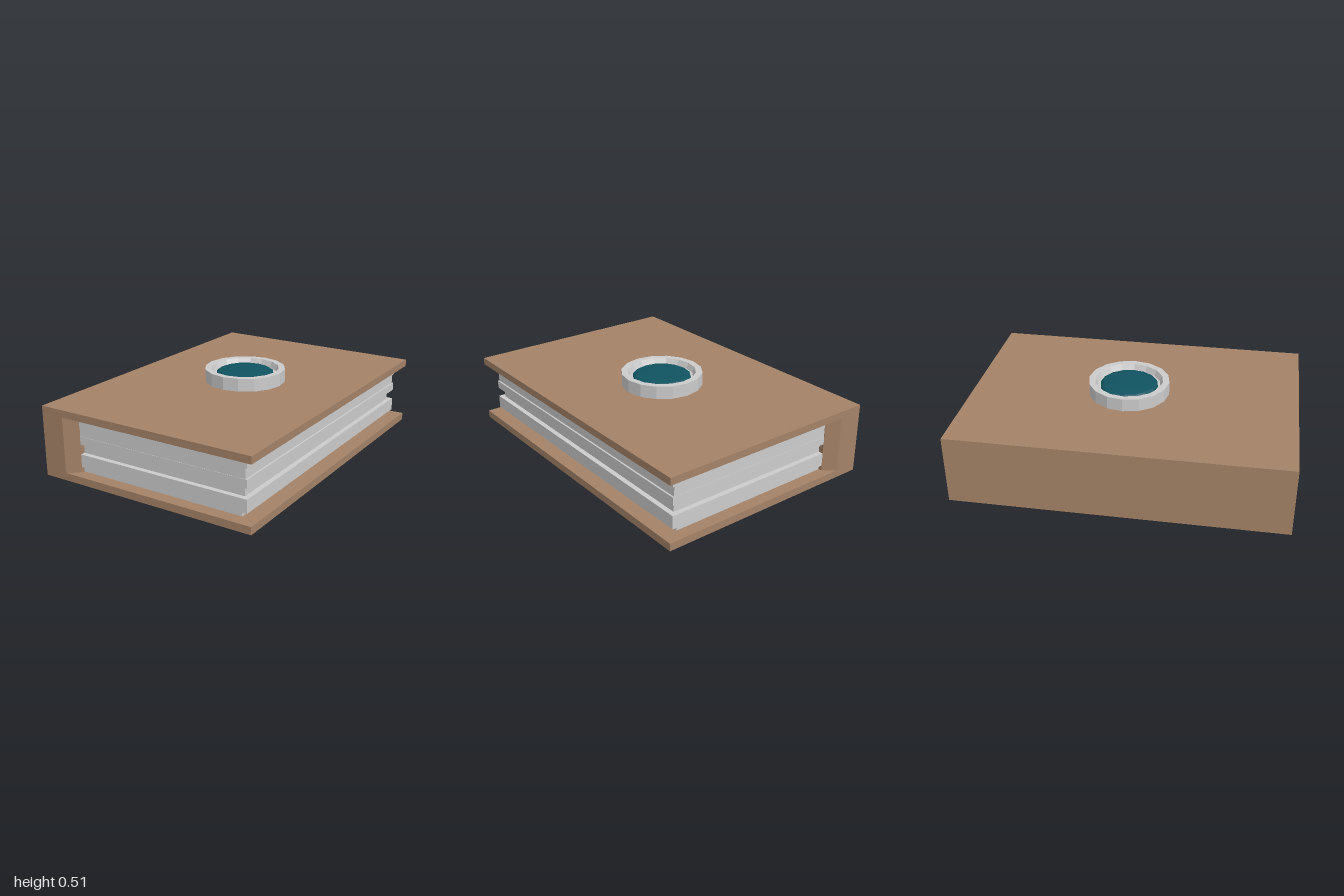
import * as THREE from 'three';

const mat = (color, side = THREE.FrontSide) =>
  new THREE.MeshStandardMaterial({ color, flatShading: true, side });

export function createModel() {
  const book = new THREE.Group();
  book.name = 'book';
  const brown = mat(0xa48267);
  const grey = mat(0xcccccc);
  const teal = mat(0x105360);

  const add = (name, geometry, material, parent = book) => {
    const mesh = new THREE.Mesh(geometry, material);
    mesh.name = name;
    parent.add(mesh);
    return mesh;
  };
  const extrude = (points, depth) => new THREE.ExtrudeGeometry(
    new THREE.Shape(points.map(([x, y]) => new THREE.Vector2(x, y))),
    { depth, bevelEnabled: false });

  // Cover: C-shaped section of two boards and a thick spine
  const low = 0.047, high = 0.386, top = 0.43, base = 0.001;
  const cover = extrude([
    [-0.7, base], [0.7, base], [0.7, low], [-0.55, low],
    [-0.55, high], [0.7, high], [0.7, top], [-0.7, top],
  ], 2);
  cover.translate(0, 0, -1);
  add('cover', cover, brown);

  // Inside of the spine, slanting in from both ends towards the pages
  const lining = extrude([
    [-0.56, -1], [-0.55, -1], [-0.475, -0.945],
    [-0.475, 0.945], [-0.55, 1], [-0.56, 1],
  ], high - low);
  lining.rotateX(-Math.PI / 2).translate(0, low, 0);
  add('spineLining', lining, brown);

  // Plain underside
  add('underside', new THREE.PlaneGeometry(1.4, 2).rotateX(Math.PI / 2), grey);

  // Page bundles: bottom, top, fore edge x, half length z
  const pages = new THREE.Group();
  pages.name = 'pages';
  book.add(pages);
  [
    [low, 0.08, 0.60, 0.925],
    [0.08, 0.16, 0.64, 0.945],
    [0.16, 0.22, 0.61, 0.915],
    [0.22, 0.27, 0.64, 0.945],
    [0.27, 0.33, 0.63, 0.943],
    [0.33, high, 0.64, 0.945],
  ].forEach(([y0, y1, edge, half], i) => {
    const spine = -0.5;
    const bundle = add(`pageBundle${i + 1}`,
      new THREE.BoxGeometry(edge - spine, y1 - y0, half * 2), grey, pages);
    bundle.position.set((edge + spine) / 2, (y0 + y1) / 2, 0);
  });

  // Round setting on the front board, with a stepped rim and a domed gem
  const emblem = new THREE.Group();
  emblem.name = 'emblem';
  emblem.position.set(0.015, top, -0.04);
  book.add(emblem);
  const lathe = (points) => new THREE.LatheGeometry(
    points.map(([r, y]) => new THREE.Vector2(r, y)), 16);
  add('settingRing', lathe([
    [0.25, 0], [0.25, 0.08], [0.21, 0.08], [0.195, 0.045], [0.17, 0.045],
  ]), mat(0xcccccc, THREE.DoubleSide), emblem);
  add('gem', lathe([
    [0.18, 0.04], [0.178, 0.053], [0.16, 0.063], [0.1, 0.068], [0, 0.07],
  ]), teal, emblem);

  return book;
}
